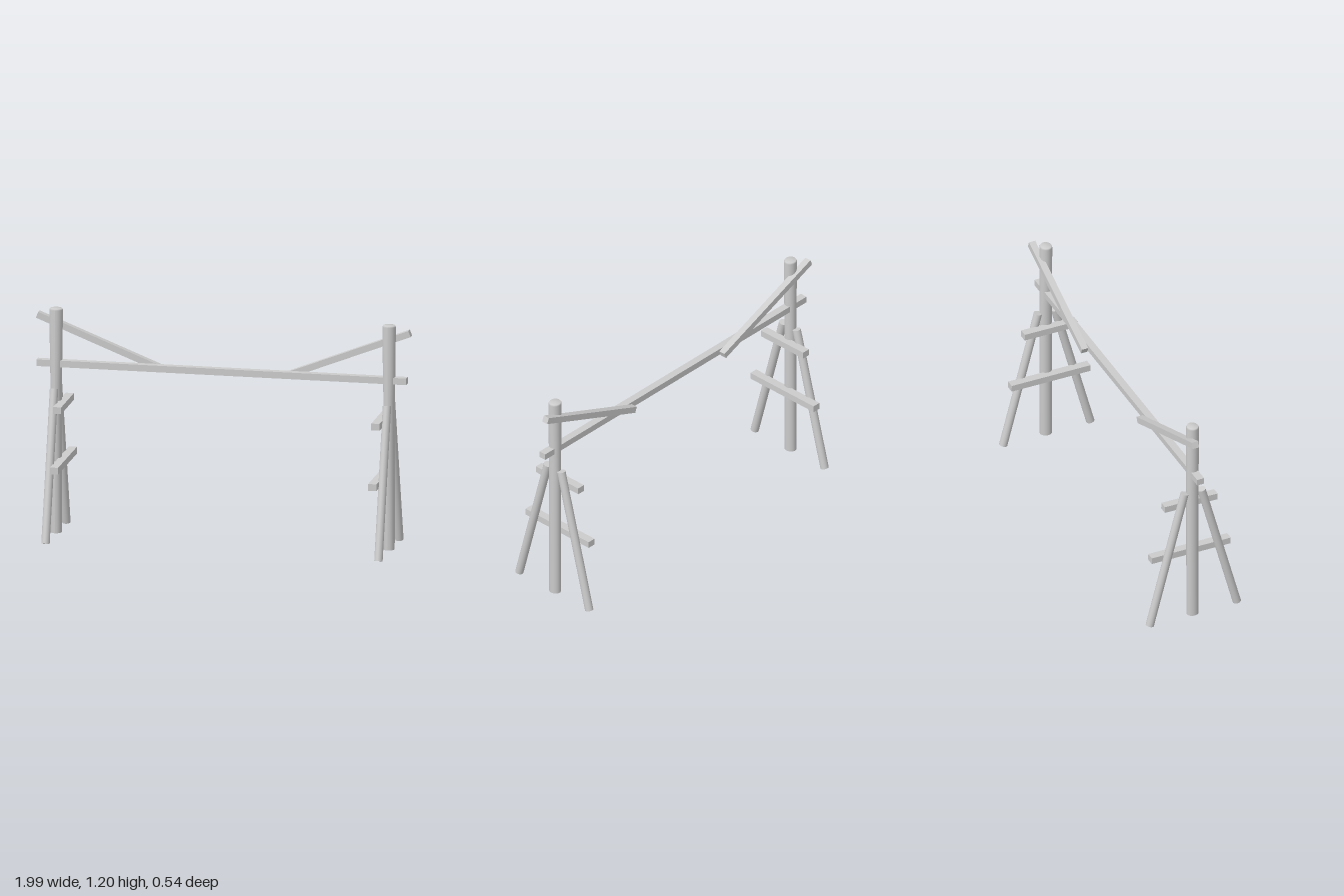
import * as THREE from 'three';

const material = new THREE.MeshStandardMaterial({ color: 0xcccccc });
const UP = new THREE.Vector3(0, 1, 0);

// Turns a mesh whose length runs along y so that it spans from a to b
function span(name, geometry, a, b) {
  const start = new THREE.Vector3(...a), end = new THREE.Vector3(...b);
  const mesh = new THREE.Mesh(geometry, material);
  mesh.name = name;
  mesh.position.copy(start).add(end).multiplyScalar(0.5);
  mesh.quaternion.setFromUnitVectors(UP, end.clone().sub(start).normalize());
  return mesh;
}

const distance = (a, b) => Math.hypot(a[0] - b[0], a[1] - b[1], a[2] - b[2]);

// Round pole
const pole = (name, a, b, radius) =>
  span(name, new THREE.CylinderGeometry(radius, radius, distance(a, b), 20), a, b);

// Squared timber: w and d are the two section sizes
const beam = (name, a, b, w, d) =>
  span(name, new THREE.BoxGeometry(w, distance(a, b), d), a, b);

// Upright post: slightly wider across x near its top, with a softened top rim
function post(x) {
  const points = [
    [0, 0.01], [0.033, 0.01], [0.033, 0.8], [0.033, 0.95], [0.033, 1.197], [0.029, 1.205], [0, 1.205],
  ].map(([r, y]) => new THREE.Vector2(r, y));
  const geometry = new THREE.LatheGeometry(points, 24);
  const p = geometry.attributes.position;
  for (let i = 0; i < p.count; i++) {
    const t = THREE.MathUtils.smoothstep(p.getY(i), 0.75, 1.15);
    p.setX(i, p.getX(i) * THREE.MathUtils.lerp(0.88, 1.08, t));
  }
  geometry.computeVertexNormals();
  const mesh = new THREE.Mesh(geometry, material);
  mesh.name = 'post';
  mesh.position.set(x, 0, -0.005);
  return mesh;
}

export function createModel() {
  const model = new THREE.Group();
  model.name = 'timberFrame';

  for (const s of [1, -1]) {
    const side = new THREE.Group();
    side.name = s > 0 ? 'leftTrestle' : 'rightTrestle';
    const x = s * 0.885;
    side.add(post(x));

    // Splayed legs
    side.add(pole('frontLeg', [x, 0.006, 0.25], [x, 0.786, 0.046], 0.022));
    side.add(pole('backLeg', [x, 0.006, -0.25], [x, 0.786, -0.05], 0.022));

    // Rungs on the inner face
    const rx = s * 0.846;
    side.add(beam('upperRung', [rx, 0.695, 0.148], [rx, 0.701, -0.155], 0.044, 0.036));
    side.add(beam('lowerRung', [rx, 0.39, 0.223], [rx, 0.397, -0.23], 0.044, 0.036));

    // Diagonal brace behind the crossbar
    side.add(beam('brace', [s * 0.335, 0.902, -0.044], [s * 0.99, 1.16, -0.037], 0.034, 0.036));
    model.add(side);
  }

  // Long crossbar
  model.add(beam('crossbar', [-0.985, 0.912, -0.005], [0.98, 0.912, -0.005], 0.035, 0.04));
  return model;
}
